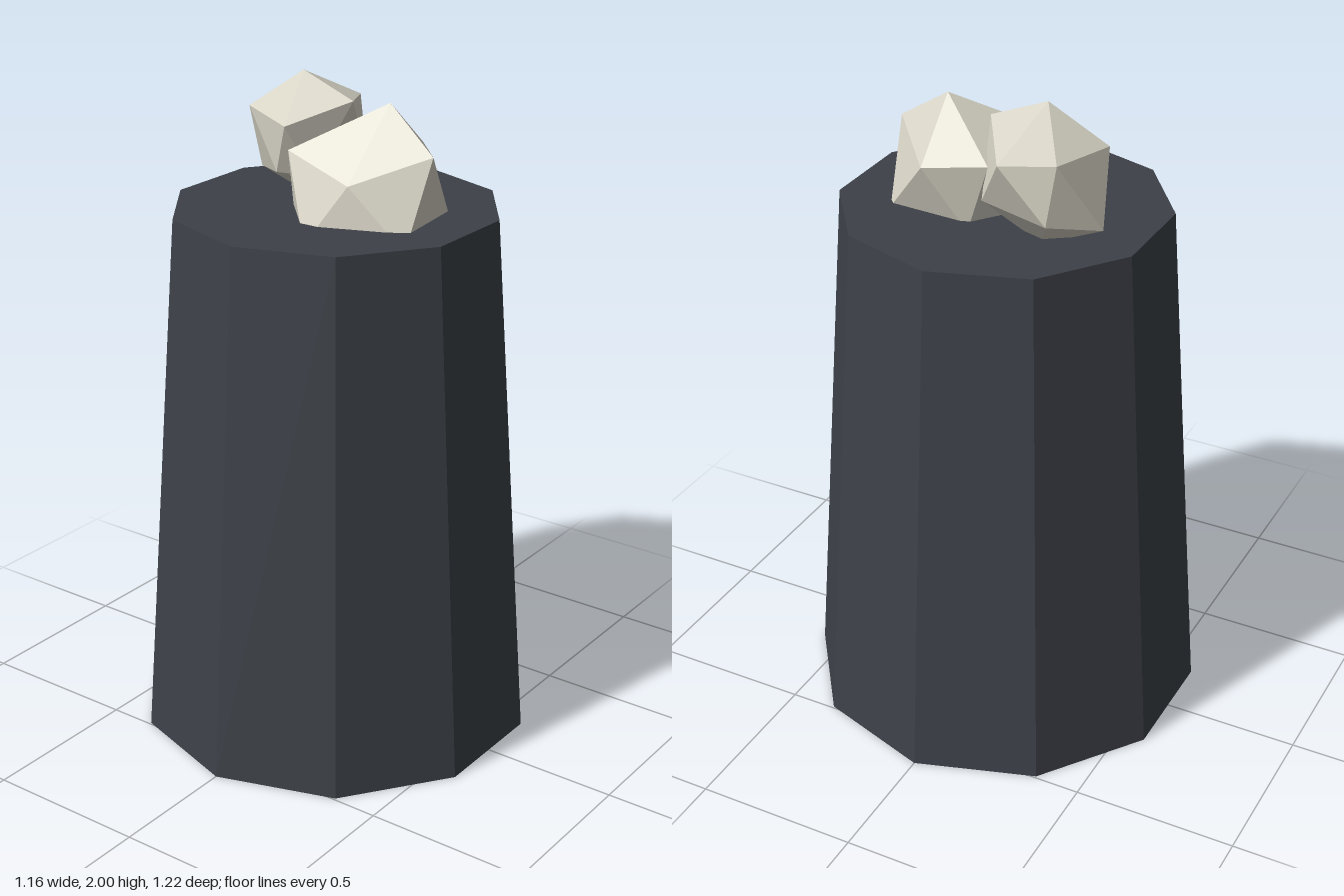
import * as THREE from 'three';
import { ConvexGeometry } from 'three/addons/geometries/ConvexGeometry.js';

const stoneDark = new THREE.MeshStandardMaterial({ color: 0x3d4148, flatShading: true });
stoneDark.name = 'dark stone';
const rockPale = new THREE.MeshStandardMaterial({ color: 0xd8d4c6, flatShading: true });
rockPale.name = 'pale rock';

// Faceted rock: top point, upper ring, lower ring, bottom point
function rock(name, corners) {
  const geometry = new ConvexGeometry(corners.map((c) => new THREE.Vector3(...c)));
  const mesh = new THREE.Mesh(geometry, rockPale);
  mesh.name = name;
  return mesh;
}

export function createModel() {
  const group = new THREE.Group();
  group.name = 'pedestalWithRocks';

  // Tapered ten-sided pedestal
  const height = 1.635;
  const pedestal = new THREE.Mesh(new THREE.CylinderGeometry(0.49, 0.61, height, 10), stoneDark);
  pedestal.position.y = height / 2;
  pedestal.name = 'pedestal';
  group.add(pedestal);

  // Smaller rock, raised at the back
  group.add(rock('backRock', [
    [-0.165, 2.0, -0.065],
    [-0.125, 1.89, -0.295], [0.01, 1.93, -0.07], [-0.115, 1.87, 0.095],
    [-0.33, 1.88, -0.015], [-0.27, 1.89, -0.225],
    [-0.18, 1.715, 0.05], [-0.36, 1.67, -0.11], [-0.255, 1.72, -0.26],
    [-0.02, 1.72, -0.185], [-0.08, 1.71, 0.01],
    [-0.18, 1.6, -0.13],
  ]));

  // Larger rock, sunk into the pedestal top
  group.add(rock('frontRock', [
    [0.165, 1.955, -0.035],
    [0.15, 1.8, -0.225], [0.345, 1.835, 0.013], [0.16, 1.755, 0.165],
    [-0.065, 1.82, 0.143], [-0.035, 1.82, -0.175],
    [0.295, 1.62, -0.15], [0.325, 1.58, 0.12], [0.05, 1.58, 0.225],
    [-0.115, 1.6, 0.05], [0.04, 1.6, -0.16],
    [0.12, 1.5, 0.02],
  ]));

  return group;
}
